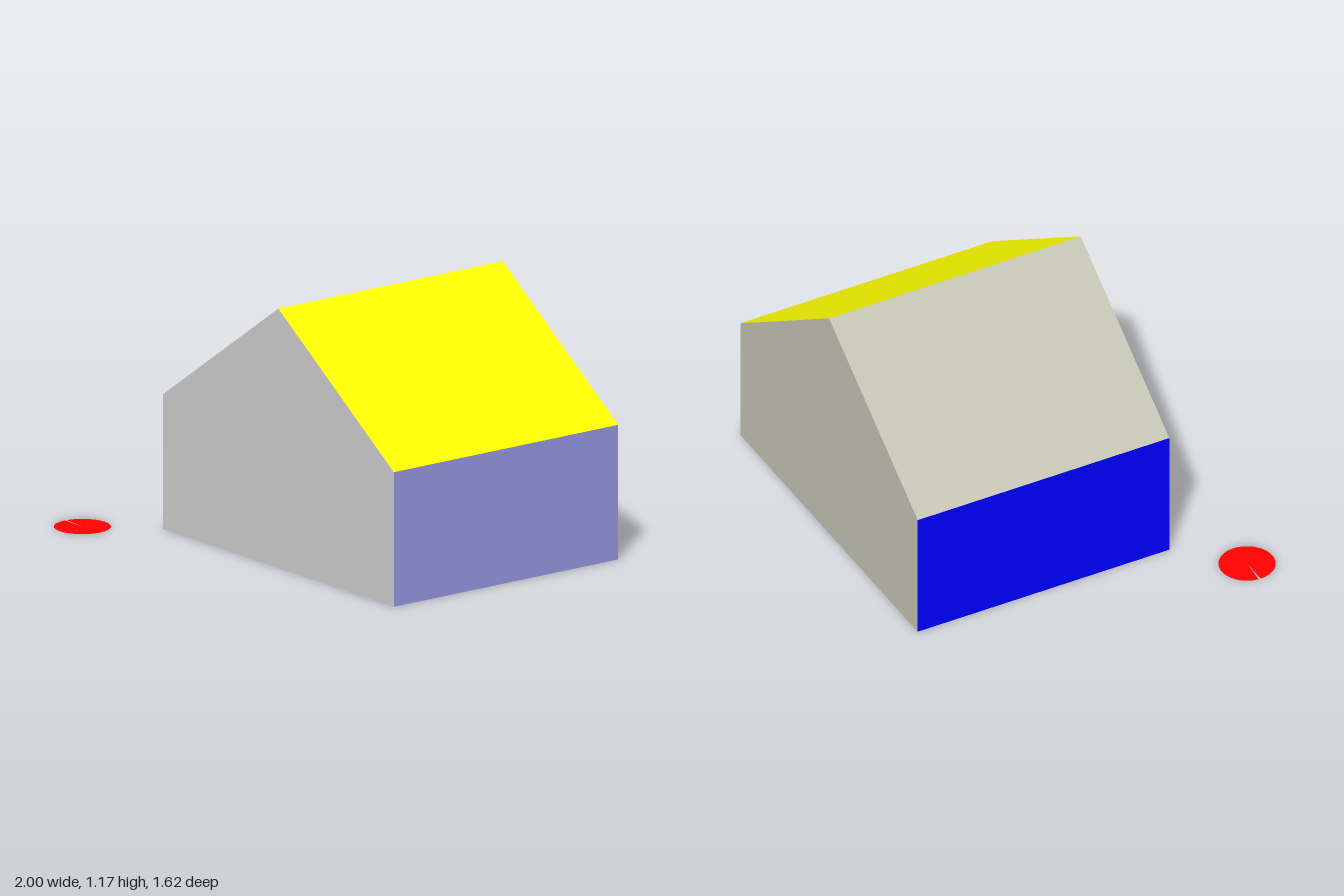
import * as THREE from 'three';

const HALF = 0.8125, EAVE = 0.61, RIDGE = 1.175, DEPTH = 1.25;

function thinMesh(name, geometry, color) {
  const material = new THREE.MeshStandardMaterial({ color, side: THREE.DoubleSide });
  const mesh = new THREE.Mesh(geometry, material);
  mesh.name = name;
  return mesh;
}

// Flat panel running the depth of the house between two outline points
function panel(name, a, b, color) {
  const geometry = new THREE.PlaneGeometry(a.distanceTo(b), DEPTH)
    .rotateX(-Math.PI / 2)
    .rotateZ(Math.atan2(b.y - a.y, b.x - a.x))
    .translate((a.x + b.x) / 2, (a.y + b.y) / 2, 0);
  return thinMesh(name, geometry, color);
}

export function createModel() {
  const model = new THREE.Group();
  model.name = 'houseWithDisc';

  // Open-bottomed house shell, outline from left foot over the ridge
  const house = new THREE.Group();
  house.name = 'house';
  house.position.set(0.1875, 0, -0.1875);
  const outline = [[-HALF, 0], [-HALF, EAVE], [0, RIDGE], [HALF, EAVE], [HALF, 0]]
    .map(([x, y]) => new THREE.Vector2(x, y));
  const panels = [
    ['rightWall', 0x0000ff],
    ['rightRoof', 0xc4c4b4],
    ['leftRoof', 0xffff00],
    ['leftWall', 0x9494de],
  ];
  panels.forEach(([name, color], i) => house.add(panel(name, outline[i], outline[i + 1], color)));

  // Gable walls
  const gable = new THREE.Shape(outline);
  house.add(thinMesh('frontWall', new THREE.ShapeGeometry(gable).translate(0, 0, DEPTH / 2), 0xcccccc));
  house.add(thinMesh('backWall', new THREE.ShapeGeometry(gable).translate(0, 0, DEPTH / 2).rotateY(Math.PI), 0xc0c0b2));
  model.add(house);

  // Ground disc with a narrow slit
  const disc = thinMesh('groundDisc',
    new THREE.CircleGeometry(0.125, 64, Math.PI, 6.2).rotateX(-Math.PI / 2), 0xff0000);
  disc.position.set(-0.875, 0, 0.6875);
  model.add(disc);

  return model;
}
